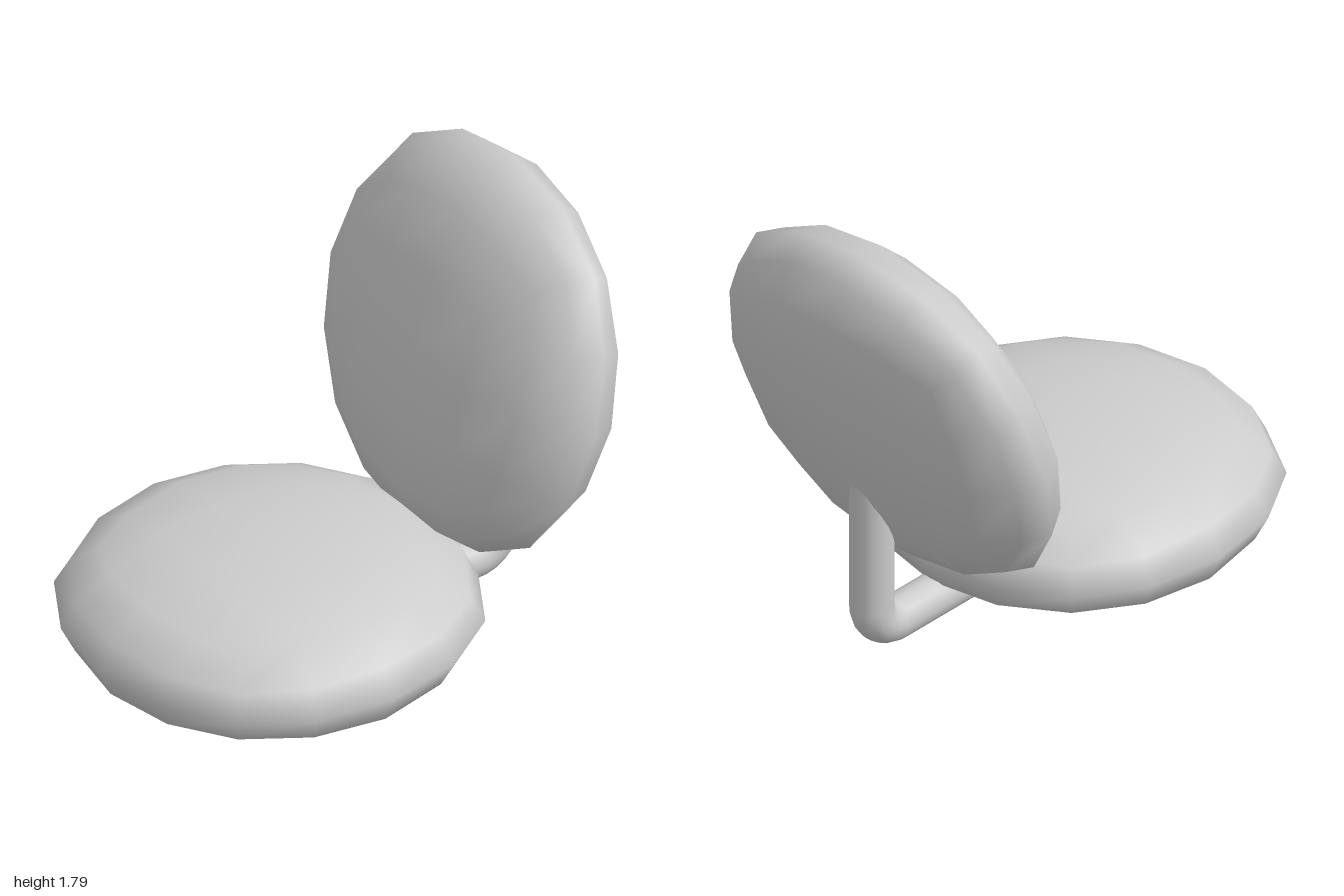
import * as THREE from 'three';
import { mergeVertices } from 'three/addons/utils/BufferGeometryUtils.js';

const material = new THREE.MeshStandardMaterial({ color: 0xcccccc });

// Twice-subdivided smooth cube: each grid point of a 4x4x4 box is moved
// according to the sorted distances (0, 1, 2 steps) from the centre planes.
const ROUNDED = {
  '002': [0, 0, 0.8785],
  '012': [0, 0.3507, 0.8194],
  '112': [0.3264, 0.3264, 0.7639],
  '022': [0, 0.6432, 0.6432],
  '122': [0.3021, 0.599, 0.599],
  '222': [0.5093, 0.5093, 0.5093],
};

function cushionGeometry(rx, ry, rz) {
  let geo = new THREE.BoxGeometry(4, 4, 4, 4, 4, 4);
  geo.deleteAttribute('uv');
  geo.deleteAttribute('normal');
  geo = mergeVertices(geo);
  const pos = geo.attributes.position;
  for (let i = 0; i < pos.count; i++) {
    const p = [pos.getX(i), pos.getY(i), pos.getZ(i)].map(Math.round);
    const key = p.map(Math.abs).sort().join('');
    const q = p.map((v) => Math.sign(v) * ROUNDED[key][key.indexOf(Math.abs(v))] / 0.8785);
    pos.setXYZ(i, q[0] * rx, q[1] * ry, q[2] * rz);
  }
  geo.computeVertexNormals();
  return geo;
}

export function createModel() {
  const group = new THREE.Group();
  const add = (name, geo) => {
    const mesh = new THREE.Mesh(geo, material);
    mesh.name = name;
    group.add(mesh);
    return mesh;
  };

  // Seat and tilted backrest share the same cushion shape
  const R = 0.758, T = 0.283;
  add('seat', cushionGeometry(R, T, R)).position.set(0, 0.285, 0.24);
  const back = add('backrest', cushionGeometry(R, R, T));
  back.position.set(0, 1.06, -0.655);
  back.rotation.x = -THREE.MathUtils.degToRad(15);

  // Bent tube joining the underside of the seat to the rear of the backrest
  const y = 0.11, z = -0.775, bend = 0.115, k = bend * 0.45;
  const v = (py, pz) => new THREE.Vector3(0, py, pz);
  const path = new THREE.CurvePath();
  path.add(new THREE.LineCurve3(v(y, 0.15), v(y, z + bend)));
  path.add(new THREE.CubicBezierCurve3(v(y, z + bend), v(y, z + k), v(y + k, z), v(y + bend, z)));
  path.add(new THREE.LineCurve3(v(y + bend, z), v(1, z)));
  add('supportTube', new THREE.TubeGeometry(path, 64, 0.082, 16, false));

  return group;
}
